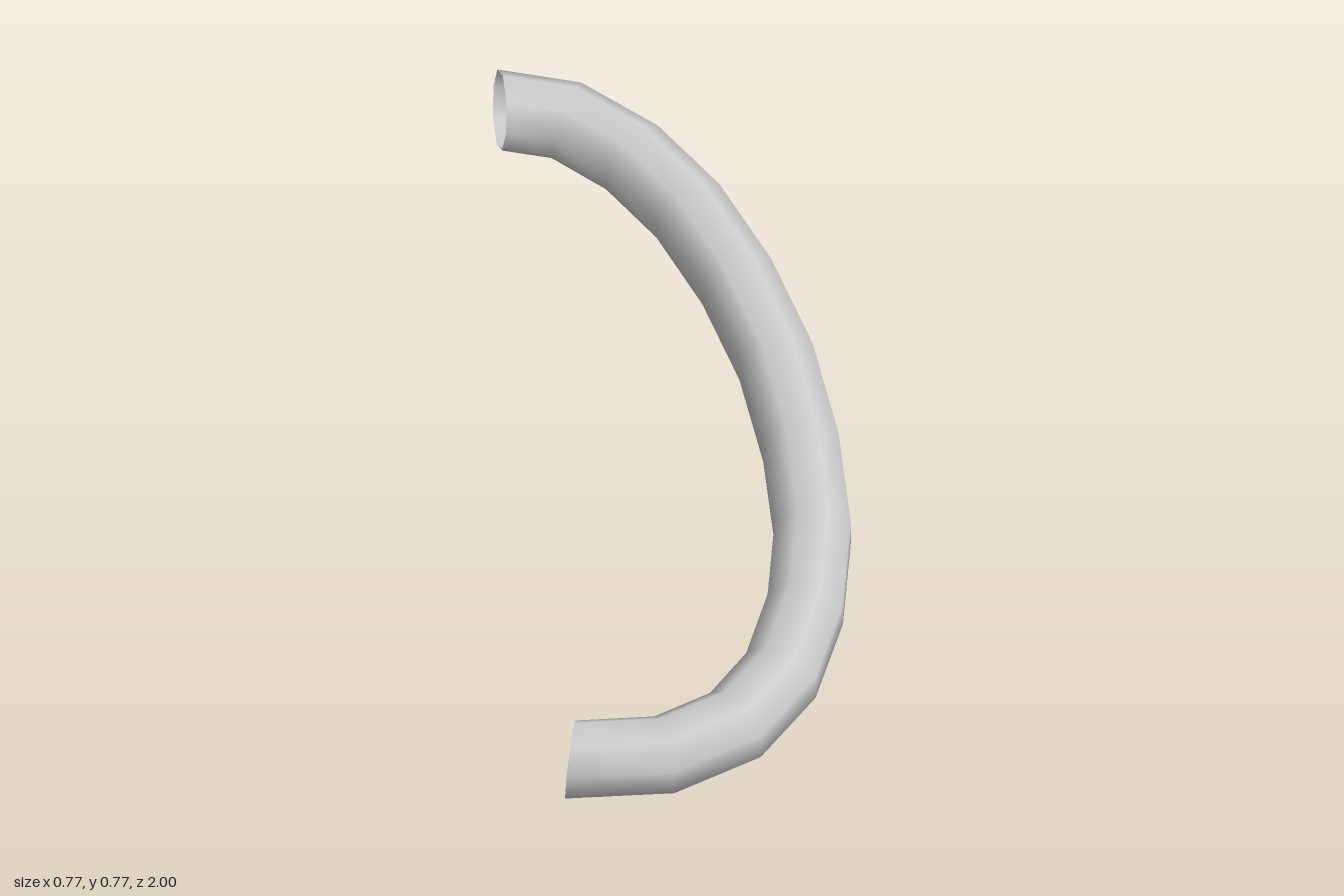
import * as THREE from 'three';

// Centre line of the bar, one point per ring, back to front.
// The first and last points only steer the end directions.
const POINTS = [
  [-0.42, 0.68, -0.88],
  [-0.25, 0.68, -0.91], [-0.10, 0.656, -0.88], [0.035, 0.616, -0.765],
  [0.14, 0.567, -0.60], [0.22, 0.505, -0.39], [0.275, 0.433, -0.16],
  [0.295, 0.357, 0.085], [0.285, 0.282, 0.325], [0.235, 0.217, 0.535],
  [0.15, 0.163, 0.715], [0.025, 0.123, 0.84], [-0.15, 0.099, 0.90],
  [-0.365, 0.095, 0.88],
  [-0.56, 0.132, 0.79],
].map((p) => new THREE.Vector3(...p));

// Curve that places its rings exactly on the points.
class BarCurve extends THREE.CatmullRomCurve3 {
  getPoint(t, target) {
    const last = this.points.length - 1;
    return super.getPoint((1 + t * (last - 2)) / last, target);
  }
  getPointAt(u, target) { return this.getPoint(u, target); }
  getTangentAt(u, target) { return this.getTangent(u, target); }
}

export function createModel() {
  const model = new THREE.Group();
  model.name = 'curvedHandle';

  // Open-ended eight-sided bent tube.
  const curve = new BarCurve(POINTS, false, 'catmullrom', 0.5);
  const tube = new THREE.Mesh(
    new THREE.TubeGeometry(curve, POINTS.length - 3, 0.095, 8, false),
    new THREE.MeshStandardMaterial({ color: 0xcccccc, side: THREE.DoubleSide })
  );
  tube.name = 'bentTube';
  model.add(tube);

  return model;
}
